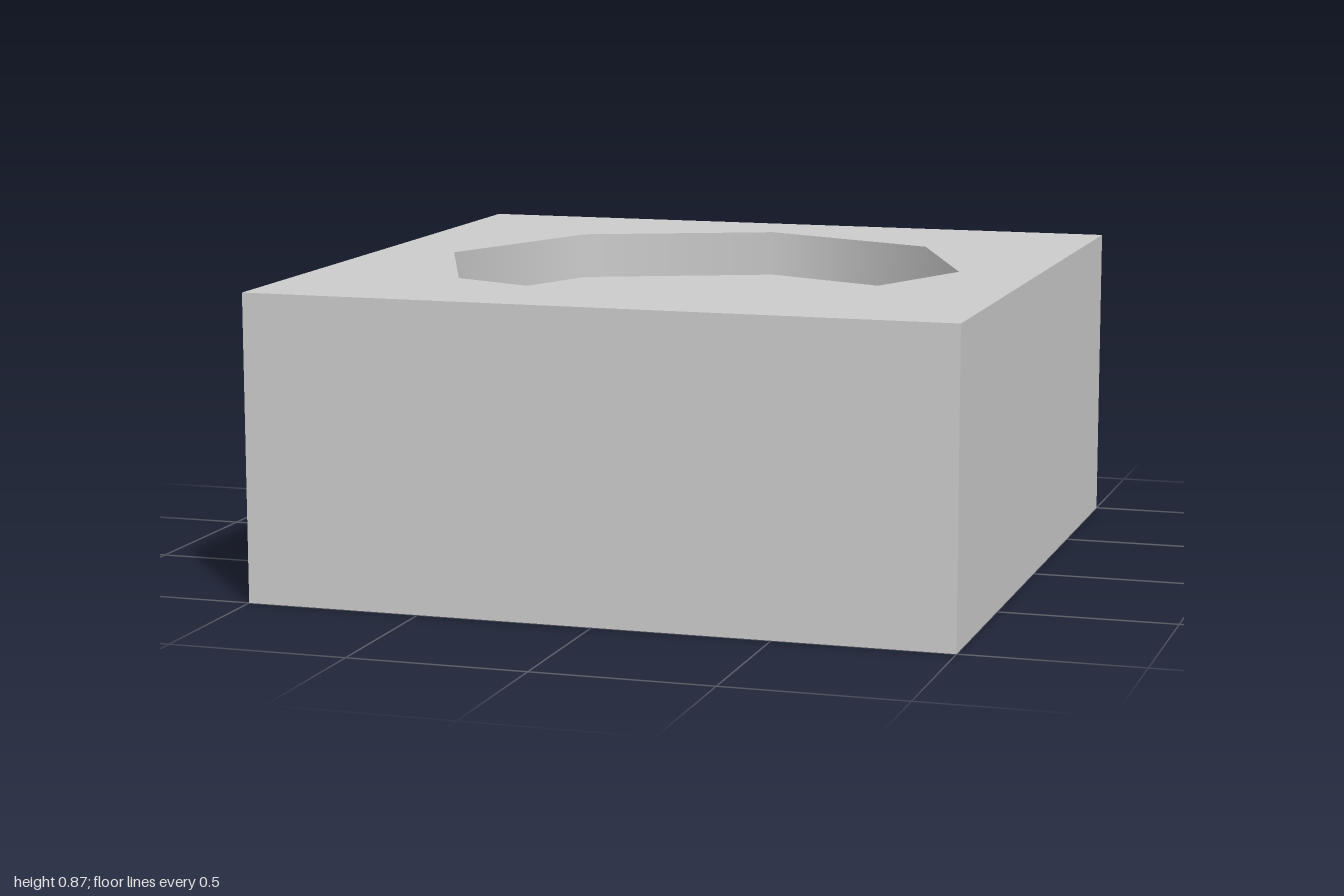
import * as THREE from 'three';

const SIZE = 2, HEIGHT = 0.866, RADIUS = 0.77, DEPTH = 0.134, SIDES = 8;

export function createModel() {
  const group = new THREE.Group();
  group.name = 'recessedBlock';
  const material = new THREE.MeshStandardMaterial({ color: 0xcccccc });
  const add = (name, geometry, y) => {
    const mesh = new THREE.Mesh(geometry, material);
    mesh.name = name;
    mesh.position.y = y;
    group.add(mesh);
  };

  // Block sides and underside: a box without its top face
  const box = new THREE.BoxGeometry(SIZE, HEIGHT, SIZE);
  const index = Array.from(box.index.array);
  index.splice(12, 6);
  box.setIndex(index);
  box.clearGroups();
  add('blockBody', box, HEIGHT / 2);

  // Square top with an octagonal opening
  const h = SIZE / 2;
  const top = new THREE.Shape([[-h, -h], [h, -h], [h, h], [-h, h]].map(([x, y]) => new THREE.Vector2(x, y)));
  const corners = Array.from({ length: SIDES }, (_, i) => {
    const a = (-i / SIDES) * Math.PI * 2;
    return new THREE.Vector2(RADIUS * Math.cos(a), RADIUS * Math.sin(a));
  });
  top.holes.push(new THREE.Path(corners));
  add('topRim', new THREE.ShapeGeometry(top).rotateX(-Math.PI / 2), HEIGHT);

  // Smooth-shaded recess wall, facing inward
  const wall = [new THREE.Vector2(RADIUS, 0), new THREE.Vector2(RADIUS, -DEPTH)];
  add('recessWall', new THREE.LatheGeometry(wall, SIDES), HEIGHT);

  // Recess floor
  add('recessFloor', new THREE.CircleGeometry(RADIUS, SIDES).rotateX(-Math.PI / 2), HEIGHT - DEPTH);

  return group;
}
